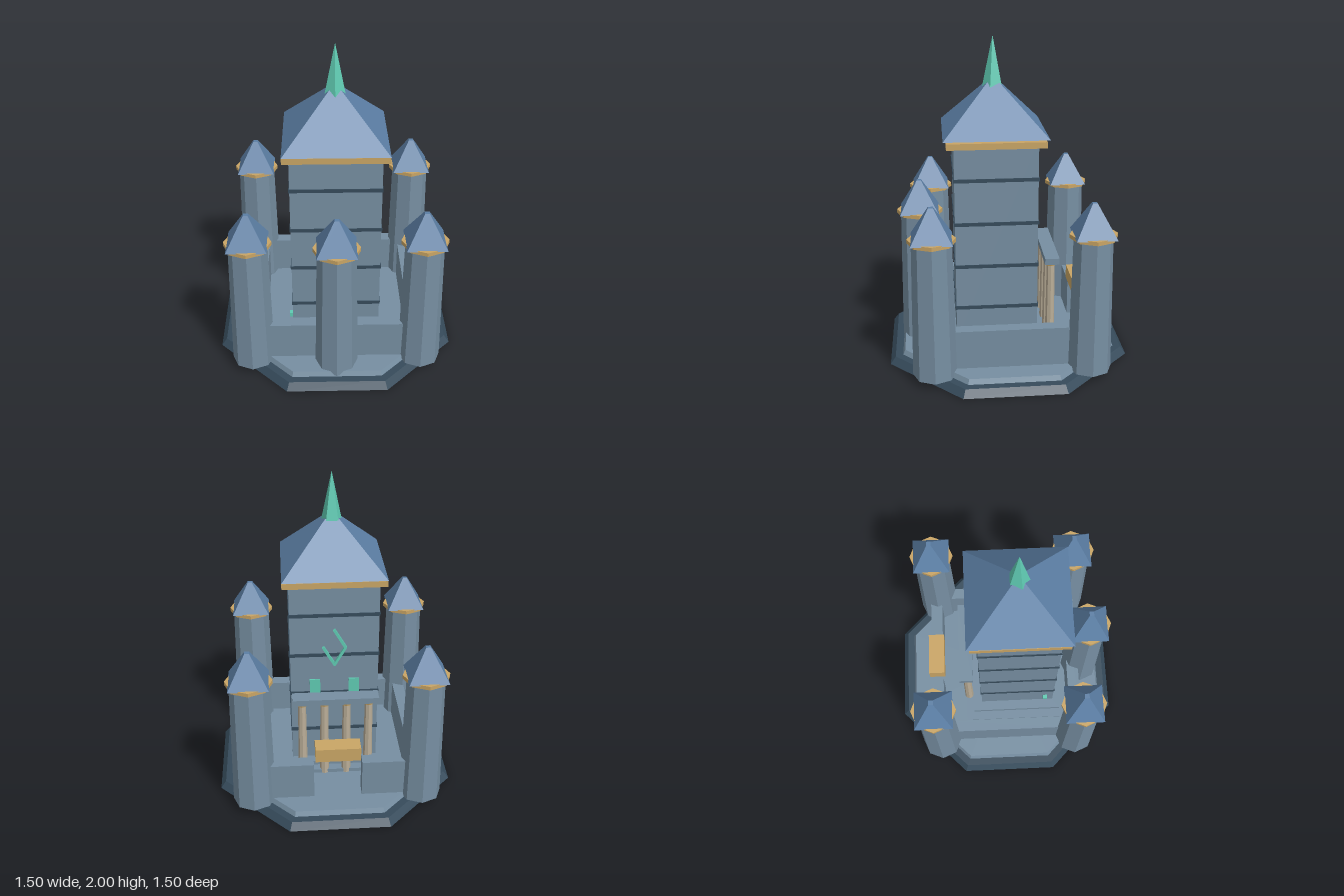
import * as THREE from 'three';

const mat = (name, color) => {
  const m = new THREE.MeshStandardMaterial({ color, flatShading: true });
  m.name = name;
  return m;
};

export function createModel() {
  const stone = mat('slate stone', 0x768ea1);
  const dark = mat('dark slate', 0x364b5b);
  const roofBlue = mat('roof blue', 0x5c7fa5);
  const gold = mat('gold trim', 0xc9a565);
  const glow = mat('green crystal', 0x5fcab2);
  const cream = mat('pale column', 0xb9ad97);

  const model = new THREE.Group();
  model.name = 'fortress';

  const add = (name, geo, material, x, y, z, parent = model) => {
    const mesh = new THREE.Mesh(geo, material);
    mesh.name = name;
    mesh.position.set(x, y, z);
    parent.add(mesh);
    return mesh;
  };
  // Box given by its centre in x and z and its bottom and top heights
  const box = (name, m, x, z, w, d, y0, y1, parent) =>
    add(name, new THREE.BoxGeometry(w, y1 - y0, d), m, x, (y0 + y1) / 2, z, parent);
  // Prism or frustum between two heights
  const prism = (name, m, x, z, rBottom, rTop, sides, y0, y1, turn = 0, parent) => {
    const geo = new THREE.CylinderGeometry(rTop, rBottom, y1 - y0, sides).rotateY(turn);
    return add(name, geo, m, x, (y0 + y1) / 2, z, parent);
  };
  const group = (name) => {
    const g = new THREE.Group();
    g.name = name;
    model.add(g);
    return g;
  };

  // Octagonal foundation
  prism('foundation', dark, 0, 0, 0.81, 0.775, 8, 0, 0.045, Math.PI / 8);
  prism('courtyard', stone, 0, 0, 0.725, 0.71, 8, 0.045, 0.075, Math.PI / 8);

  // Curtain walls, with a gate gap at the back
  const walls = group('curtainWalls');
  box('frontWall', stone, 0, 0.47, 0.86, 0.08, 0.06, 0.32, walls);
  for (const s of [-1, 1]) {
    box('sideWall', stone, s * 0.492, 0, 0.076, 0.78, 0.06, 0.32, walls);
    box('backWall', stone, s * 0.29, -0.48, 0.28, 0.08, 0.06, 0.32, walls);
  }
  box('gateLintel', gold, 0, -0.478, 0.28, 0.106, 0.35, 0.44, walls);

  // Outer turrets
  for (const [x, z] of [[-0.525, -0.47], [0.525, -0.47], [-0.525, 0.47], [0.525, 0.47], [0, 0.54]]) {
    const t = group('turret');
    prism('turretShaft', stone, x, z, 0.133, 0.118, 8, 0.05, 0.9, 0, t);
    prism('turretCornice', gold, x, z, 0.142, 0.142, 8, 0.898, 0.922, 0, t);
    prism('turretRoof', roofBlue, x, z, 0.12 * Math.SQRT2, 0.014 * Math.SQRT2, 4, 0.916, 1.11, Math.PI / 4, t);
  }

  // Central keep on a stepped plinth
  const Z = 0.075;
  const keep = group('keep');
  box('lowerPlinth', stone, 0, 0.07, 0.8, 0.72, 0.07, 0.1, keep);
  box('upperPlinth', stone, 0, 0.07, 0.68, 0.61, 0.1, 0.13, keep);
  box('keepBody', stone, 0, Z, 0.55, 0.505, 0.13, 1.43, keep);
  for (const y of [0.355, 0.63, 0.905, 1.18]) {
    box('keepBand', dark, 0, Z, 0.56, 0.516, y - 0.011, y + 0.011, keep);
  }
  box('keepCornice', gold, 0, Z, 0.63, 0.594, 1.38, 1.418, keep);
  prism('keepRoof', roofBlue, 0, Z, 0.315 * Math.SQRT2, 0, 4, 1.428, 1.76, Math.PI / 4, keep);
  prism('spire', glow, 0, Z, 0.068, 0, 5, 1.68, 2, 0, keep);

  // Glowing windows and angular emblem on the back of the keep
  for (const s of [-1, 1]) box('window', glow, s * 0.123, -0.182, 0.066, 0.009, 0.6, 0.73, keep);
  const corners = [[0.068, 0.96], [0, 0.84], [-0.068, 0.96], [0, 1.08]];
  for (let i = 0; i < 3; i++) {
    const [x0, y0] = corners[i], [x1, y1] = corners[i + 1];
    const len = Math.hypot(x1 - x0, y1 - y0);
    const bar = add('emblemBar', new THREE.BoxGeometry(0.016, len + 0.01, 0.02), glow,
      (x0 + x1) / 2, (y0 + y1) / 2, -0.188, keep);
    bar.rotation.z = -Math.atan2(x1 - x0, y1 - y0);
  }
  box('sideLamp', glow, -0.285, 0.27, 0.025, 0.03, 0.21, 0.24, keep);

  // Colonnade behind the keep
  const porch = group('colonnade');
  for (const x of [-0.21, -0.07, 0.07, 0.21]) {
    prism('column', cream, x, -0.268, 0.03, 0.025, 8, 0.07, 0.6, 0, porch);
    prism('capital', gold, x, -0.268, 0.034, 0.038, 8, 0.6, 0.621, 0, porch);
  }
  box('colonnadeBeam', stone, 0, -0.27, 0.54, 0.09, 0.62, 0.66, porch);

  return model;
}
